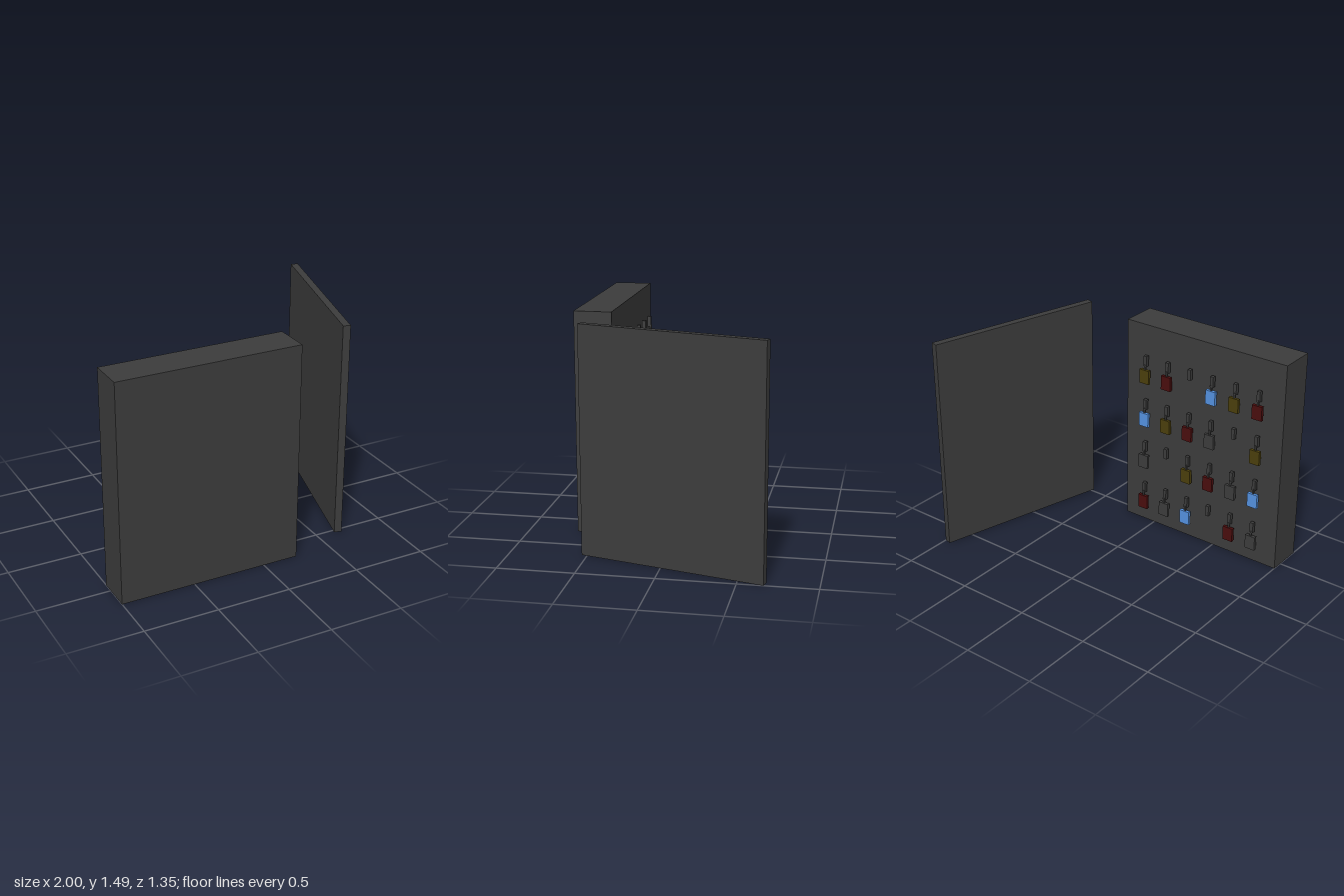
import * as THREE from 'three';

const mat = (name, color) => {
  const m = new THREE.MeshStandardMaterial({ color });
  m.name = name;
  return m;
};

export function createModel() {
  const model = new THREE.Group();
  model.name = 'keyCabinet';
  const steel = mat('darkSteel', 0x3c3c3c);
  const tagMats = {
    R: mat('darkRed', 0x4a0d0d),
    Y: mat('olive', 0x4b3f0c),
    B: mat('blue', 0x5592e0),
    G: steel,
  };

  const box = (parent, name, material, size, pos) => {
    const mesh = new THREE.Mesh(new THREE.BoxGeometry(...size), material);
    mesh.name = name;
    mesh.position.set(...pos);
    parent.add(mesh);
    return mesh;
  };

  // Cabinet body and the door standing open beside it
  box(model, 'cabinetBody', steel, [1.243, 1.492, 0.249], [-0.379, 0.746, 0.55]);
  const door = box(model, 'door', steel, [0.05, 1.492, 1.243], [0.815, 0.746, -0.07]);
  door.rotation.y = -Math.PI / 12;

  // Rows of hooks from the top, each listed from +x to -x; '-' is an empty hook
  const rows = ['YR-BYR', 'BYRG-Y', 'G-YRGB', 'RGB-RG'];
  rows.forEach((row, r) => {
    [...row].forEach((key, c) => {
      const slot = new THREE.Group();
      slot.name = 'keySlot';
      slot.position.set(0.068 - c * 0.179, 1.243 - r * 0.323, 0);
      box(slot, 'hook', steel, [0.025, 0.075, 0.025], [0, 0, 0.398]);
      if (key !== '-') {
        box(slot, 'keyLink', steel, [0.012, 0.04, 0.012], [0, -0.045, 0.388]);
        box(slot, 'keyTag', tagMats[key], [0.075, 0.1, 0.022], [0, -0.11, 0.385]);
      }
      model.add(slot);
    });
  });
  return model;
}
